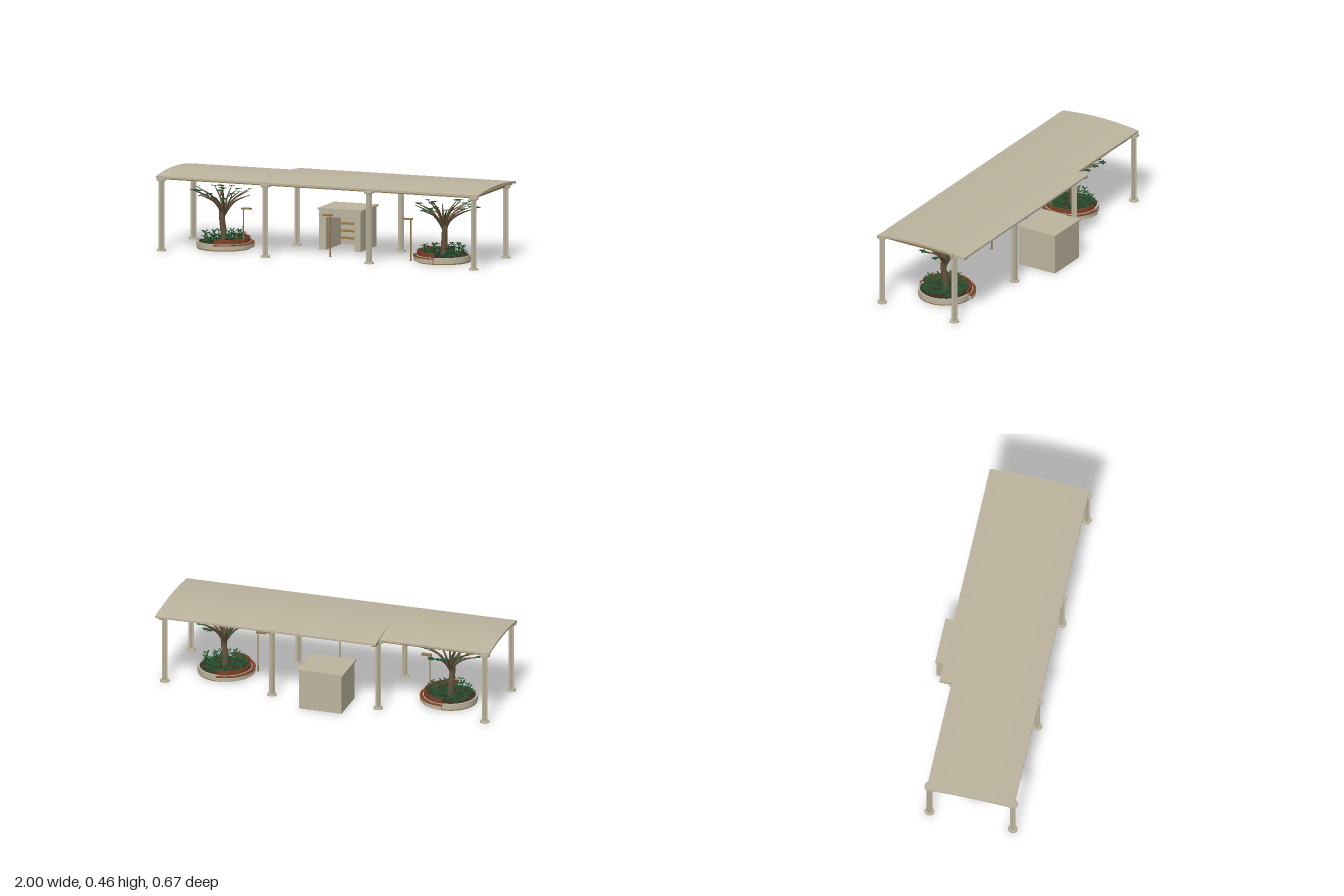
import * as THREE from 'three';
import { mergeGeometries } from 'three/addons/utils/BufferGeometryUtils.js';

const mat = (name, color, extra = {}) => Object.assign(new THREE.MeshStandardMaterial({ color, ...extra }), { name });
const stone = mat('stone', 0xbcb49e);
const bronze = mat('bronze', 0x8f7546);
const wood = mat('wood', 0x7d4229);
const bark = mat('bark', 0x66543e);
const soil = mat('soil', 0x3a3022);
const leafGreen = mat('leaf green', 0x23502f, { side: THREE.DoubleSide });

function add(parent, name, geometry, material, x = 0, y = 0, z = 0) {
  const mesh = new THREE.Mesh(geometry, material);
  mesh.name = name;
  mesh.position.set(x, y, z);
  parent.add(mesh);
  return mesh;
}

// Box given by its limits on each axis
function block(parent, name, material, [x0, x1], [y0, y1], [z0, z1]) {
  return add(parent, name, new THREE.BoxGeometry(x1 - x0, y1 - y0, z1 - z0), material,
    (x0 + x1) / 2, (y0 + y1) / 2, (z0 + z1) / 2);
}

function disc(parent, name, material, rTop, rBottom, y0, y1, sides = 32) {
  return add(parent, name, new THREE.CylinderGeometry(rTop, rBottom, y1 - y0, sides), material, 0, (y0 + y1) / 2, 0);
}

function seeded(seed) {
  return () => (seed = (seed * 16807) % 2147483647) / 2147483647;
}

// Arched roof slab running along x
function roofSlab(parent, name, x0, x1, zBack, zFront) {
  const n = 28, edge = 0.437, rise = 0.018, thick = 0.012;
  const shape = new THREE.Shape();
  for (let i = 0; i <= n; i++) {
    const t = i / n, y = edge + rise * 4 * t * (1 - t), z = zBack + (zFront - zBack) * t;
    i ? shape.lineTo(z, y) : shape.moveTo(z, y);
  }
  for (let i = n; i >= 0; i--) {
    const t = i / n;
    shape.lineTo(zBack + (zFront - zBack) * t, edge - thick + rise * 4 * t * (1 - t));
  }
  const geo = new THREE.ExtrudeGeometry(shape, { depth: x1 - x0, bevelEnabled: false });
  geo.rotateY(-Math.PI / 2);
  add(parent, name, geo, stone, x1, 0, 0);
}

// Fluted column with round base and capital
function column(x, z) {
  const g = new THREE.Group();
  g.name = 'column';
  g.position.set(x, 0, z);
  disc(g, 'columnBase', stone, 0.026, 0.028, 0, 0.011, 24);
  const shaft = new THREE.CylinderGeometry(0.0165, 0.0165, 0.396, 32, 1, true).toNonIndexed();
  const p = shaft.attributes.position;
  for (let i = 0; i < p.count; i++) {
    const k = Math.round(Math.atan2(p.getZ(i), p.getX(i)) / (Math.PI / 16));
    const s = k % 2 ? 0.84 : 1;
    p.setX(i, p.getX(i) * s);
    p.setZ(i, p.getZ(i) * s);
  }
  shaft.computeVertexNormals();
  add(g, 'columnShaft', shaft, stone, 0, 0.209, 0);
  disc(g, 'columnNeck', stone, 0.021, 0.019, 0.406, 0.412, 24);
  disc(g, 'columnCapital', stone, 0.029, 0.029, 0.412, 0.425, 24);
  return g;
}

// Half ring standing on y, open toward +x
function halfRing(inner, outer, height) {
  const s = new THREE.Shape();
  s.absarc(0, 0, outer, Math.PI / 2, Math.PI * 1.5, false);
  s.absarc(0, 0, inner, Math.PI * 1.5, Math.PI / 2, true);
  return new THREE.ExtrudeGeometry(s, { depth: height, bevelEnabled: false, curveSegments: 20 }).rotateX(-Math.PI / 2);
}

// Round tube along points, tapering from r0 to r1
function limb(points, r0, r1, sides = 6, steps = 8) {
  const curve = new THREE.CatmullRomCurve3(points.map(q => new THREE.Vector3(...q)));
  const geo = new THREE.TubeGeometry(curve, steps, 1, sides);
  const p = geo.attributes.position, v = new THREE.Vector3();
  for (let i = 0; i < p.count; i++) {
    const t = Math.floor(i / (sides + 1)) / steps, c = curve.getPointAt(t);
    v.fromBufferAttribute(p, i).sub(c).multiplyScalar(r0 + (r1 - r0) * t).add(c);
    p.setXYZ(i, v.x, v.y, v.z);
  }
  return geo;
}

// Flat lobed leaf spray
function leafSpray(r) {
  const s = new THREE.Shape();
  for (let i = 0; i < 20; i++) {
    const a = i / 20 * Math.PI * 2, k = r * (0.8 + 0.22 * Math.cos(5 * a));
    i ? s.lineTo(k * Math.cos(a), k * Math.sin(a)) : s.moveTo(k * Math.cos(a), k * Math.sin(a));
  }
  return new THREE.ShapeGeometry(s).rotateX(-Math.PI / 2);
}

// Arching blade: rises outward along +x, then droops
function blade(length, height) {
  const geo = new THREE.PlaneGeometry(1, 1, 4, 1), p = geo.attributes.position;
  for (let i = 0; i < p.count; i++) {
    const t = p.getX(i) + 0.5, w = length * 0.42 * Math.sin(Math.PI * (0.06 + 0.92 * t));
    p.setXYZ(i, length * t, height * (2.2 * t - 1.3 * t * t), p.getY(i) * w);
  }
  geo.computeVertexNormals();
  return geo;
}

function tree(s) {
  const g = new THREE.Group();
  g.name = 'tree';
  const rand = seeded(41);
  const wooden = [limb([[0, 0.035, 0], [0.004 * s, 0.11, 0.002], [0.009 * s, 0.17, 0.008], [0.01 * s, 0.215, 0.006]], 0.019, 0.016, 10)];
  const leaves = [];
  // Branch tips: outward x, height, z
  const tips = [
    [0.13, 0.36, 0.09], [0.18, 0.33, 0.03], [0.19, 0.315, -0.05], [0.11, 0.335, -0.13],
    [0.05, 0.345, -0.08], [0.03, 0.33, -0.19], [-0.07, 0.31, -0.15], [-0.13, 0.34, -0.07],
    [-0.17, 0.32, 0.02], [-0.13, 0.345, 0.09], [-0.06, 0.31, 0.16], [0.02, 0.335, 0.175],
    [0.08, 0.32, 0.15], [-0.03, 0.355, 0.09],
  ];
  tips.forEach(([x, y, z], i) => {
    const mid = [x * 0.42 * s, 0.215 + (y - 0.215) * 0.58, z * 0.42];
    wooden.push(limb([[0.008 * s, 0.175, 0.004], [x * 0.13 * s, 0.225, z * 0.13], mid, [x * s, y, z]],
      i % 2 ? 0.0085 : 0.011, 0.0018));
    // Side twig with a second spray
    const twig = [x * 0.86 * s - z * 0.22, y - 0.012, z * 0.86 + x * 0.22 * s];
    if (i % 2) wooden.push(limb([mid, twig], 0.004, 0.0015, 5, 3));
    for (const q of i % 2 ? [[x * s, y, z], twig] : [[x * s, y, z]]) {
      leaves.push(leafSpray(0.024).rotateY(rand() * 6).rotateX((rand() - 0.5) * 0.3)
        .rotateZ((rand() - 0.5) * 0.3).translate(q[0], q[1] + 0.003, q[2]));
    }
  });
  add(g, 'trunkAndBranches', mergeGeometries(wooden), bark);
  add(g, 'treeLeaves', mergeGeometries(leaves), leafGreen);
  return g;
}

function shrubs(seed) {
  const rand = seeded(seed), blades = [];
  for (let i = 0; i < 46; i++) {
    const a = i * 2.4, r = 0.04 + 0.09 * Math.sqrt(i / 46), tall = i % 2 === 0;
    const x = r * Math.cos(a), z = r * Math.sin(a);
    for (let k = 0; k < 8; k++) {
      const h = tall ? 0.016 : 0.014, base = tall ? 0.055 + 0.026 * (k % 2) : 0.038;
      blades.push(blade(0.02 + 0.01 * rand(), h * (0.6 + 0.6 * rand()))
        .rotateY(k * 0.785 + rand() * 0.6).translate(x, base, z));
    }
    if (tall) blades.push(new THREE.CylinderGeometry(0.001, 0.0015, 0.046, 4).translate(x, 0.06, z));
  }
  return mergeGeometries(blades);
}

// Round planter with tree; the bench faces the middle of the shelter
function planter(s) {
  const g = new THREE.Group();
  g.name = 'planter';
  g.position.set(0.683 * s, 0, 0.055);
  disc(g, 'planterFoot', bronze, 0.156, 0.156, 0, 0.007, 40);
  const wall = [[0.15, 0.007], [0.158, 0.007], [0.158, 0.04], [0.147, 0.04], [0.147, 0.03]];
  add(g, 'planterWall', new THREE.LatheGeometry(wall.map(q => new THREE.Vector2(...q)), 40).toNonIndexed(), stone)
    .geometry.computeVertexNormals();
  disc(g, 'soil', soil, 0.148, 0.148, 0.007, 0.036, 40);
  const bench = new THREE.Group();
  bench.name = 'bench';
  bench.rotation.y = s > 0 ? 0 : Math.PI;
  add(bench, 'benchBase', halfRing(0.157, 0.175, 0.024), stone, 0, 0.009, 0);
  add(bench, 'benchSeat', halfRing(0.157, 0.177, 0.004), wood, 0, 0.033, 0);
  add(bench, 'benchBack', halfRing(0.145, 0.153, 0.027), wood, 0, 0.039, 0);
  g.add(bench, tree(s));
  add(g, 'shrubs', shrubs(s > 0 ? 77 : 913), leafGreen);
  return g;
}

// Lamp post; dir is the side the head reaches to
function lamp(x, z, dir) {
  const g = new THREE.Group();
  g.name = 'lamp';
  g.position.set(x, 0, z);
  disc(g, 'lampFoot', bronze, 0.006, 0.008, 0, 0.006, 12);
  disc(g, 'lampPole', bronze, 0.003, 0.004, 0.006, 0.247, 10);
  add(g, 'lampHead', new THREE.BoxGeometry(0.058, 0.007, 0.03), bronze, 0.02 * dir, 0.244, 0);
  return g;
}

function kiosk() {
  const g = new THREE.Group();
  g.name = 'kiosk';
  const y = [0, 0.232];
  block(g, 'leftWall', stone, [0.072, 0.11], y, [-0.33, -0.085]);
  block(g, 'rightWall', stone, [-0.148, -0.106], y, [-0.33, -0.085]);
  block(g, 'backWall', stone, [-0.106, 0.072], y, [-0.33, -0.32]);
  block(g, 'lintel', stone, [-0.106, 0.072], [0.192, 0.232], [-0.32, -0.085]);
  block(g, 'kioskRoof', stone, [-0.157, 0.118], [0.232, 0.243], [-0.336, -0.08]);
  for (const h of [0.043, 0.085, 0.128]) block(g, 'shelf', bronze, [-0.106, 0.072], [h - 0.002, h + 0.002], [-0.32, -0.26]);
  return g;
}

export function createModel() {
  const model = new THREE.Group();
  model.name = 'plazaShelter';
  const zFront = 0.305, zBack = -0.187, xs = [-0.97, -0.325, 0.32, 0.97];

  roofSlab(model, 'wideRoof', -0.337, 1, -0.272, 0.316);
  roofSlab(model, 'narrowRoof', -1, -0.337, -0.2, 0.316);

  // Columns and the beams above them
  for (const x of xs) {
    model.add(column(x, zFront), column(x, zBack));
    block(model, 'crossBeam', bronze, [x - 0.01, x + 0.01], [0.418, 0.427], [x < -0.5 ? -0.198 : -0.27, 0.314]);
  }
  for (const z of [zFront, zBack]) block(model, 'longBeam', bronze, [-0.998, 0.998], [0.419, 0.4265], [z - 0.009, z + 0.009]);

  model.add(planter(-1), planter(1), kiosk());
  model.add(lamp(-0.542, 0.106, 1), lamp(0.02, 0.158, -1), lamp(0.505, 0.122, -1));
  return model;
}
